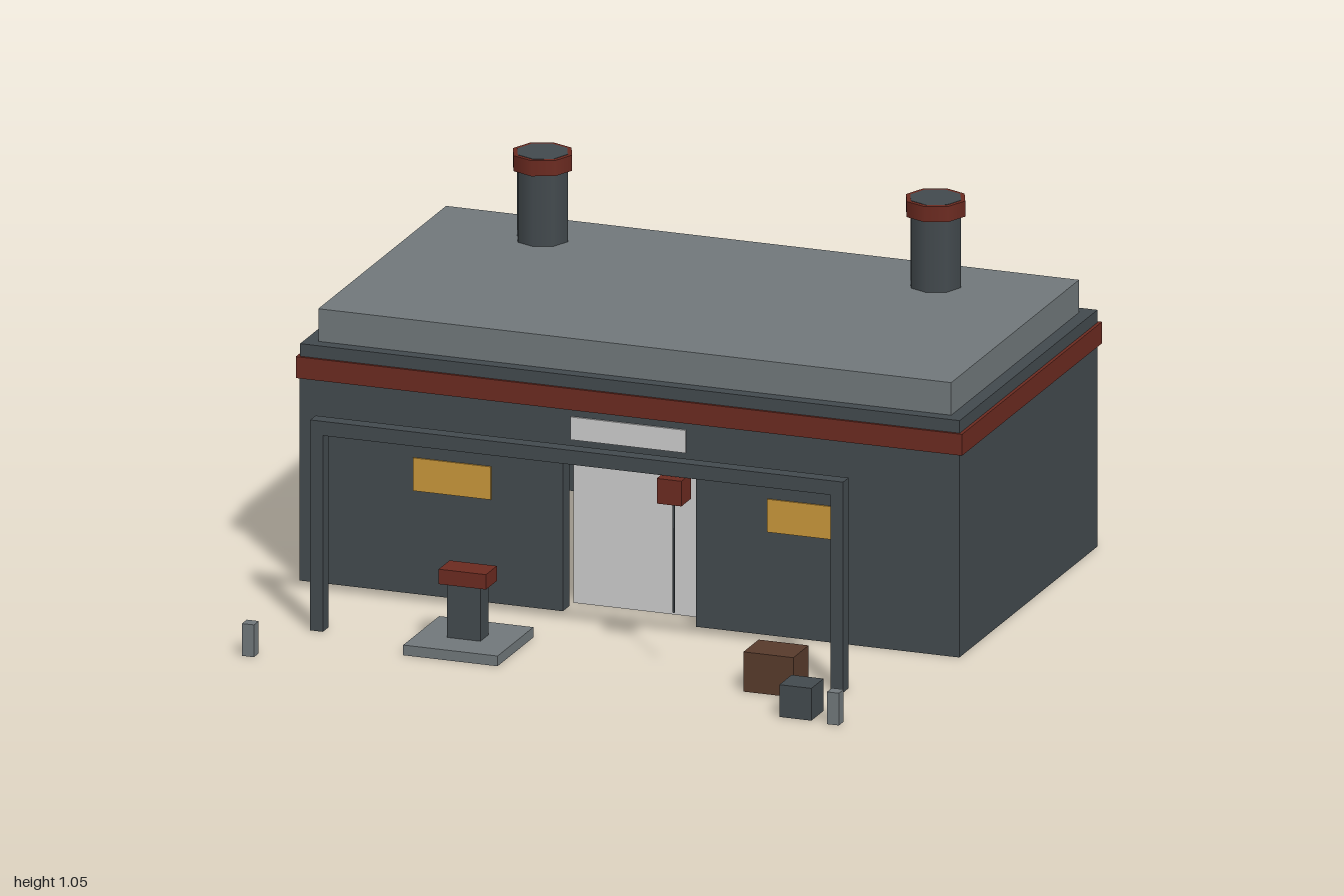
import * as THREE from 'three';

const mat = (name, color) => {
  const m = new THREE.MeshStandardMaterial({ color });
  m.name = name;
  return m;
};

export function createModel() {
  const slate = mat('dark slate', 0x42494d);
  const stone = mat('grey stone', 0x70777a);
  const red = mat('brick red', 0x6b2a20);
  const amber = mat('amber glass', 0xc8963a);
  const pale = mat('pale grey', 0xcbcbcb);
  const wood = mat('brown wood', 0x573a2b);
  const model = new THREE.Group();

  const add = (parent, name, geometry, material) => {
    const mesh = new THREE.Mesh(geometry, material);
    mesh.name = name;
    parent.add(mesh);
    return mesh;
  };
  // box given by its limits on each axis
  const box = (parent, name, material, [x0, x1], [y0, y1], [z0, z1]) => {
    const mesh = add(parent, name, new THREE.BoxGeometry(x1 - x0, y1 - y0, z1 - z0), material);
    mesh.position.set((x0 + x1) / 2, (y0 + y1) / 2, (z0 + z1) / 2);
    return mesh;
  };
  const group = (name) => {
    const g = new THREE.Group();
    g.name = name;
    model.add(g);
    return g;
  };

  // hollow walls, open underneath
  const walls = group('walls');
  box(walls, 'backWall', slate, [-0.99, 0.99], [0, 0.6], [-0.89, -0.84]);
  box(walls, 'lintel', slate, [-0.2, 0.2], [0.48, 0.6], [0.148, 0.198]);
  for (const s of [-1, 1]) {
    const span = (a, b) => (s > 0 ? [a, b] : [-b, -a]);
    box(walls, 'sideWall', slate, span(0.94, 0.99), [0, 0.6], [-0.84, 0.148]);
    box(walls, 'frontWall', slate, span(0.2, 0.99), [0, 0.6], [0.148, 0.198]);
    box(walls, 'window', amber, span(0.415, 0.648), [0.305, 0.402], [0.196, 0.203]);
  }
  box(model, 'door', pale, [-0.2, 0.2], [0, 0.48], [0.085, 0.115]);
  box(model, 'doorPlate', pale, [-0.175, 0.17], [0.51, 0.577], [0.196, 0.204]);

  // stepped roof
  const roof = group('roof');
  box(roof, 'redBand', red, [-1, 1], [0.597, 0.66], [-0.9, 0.203]);
  box(roof, 'roofSlab', slate, [-0.99, 0.99], [0.66, 0.697], [-0.89, 0.195]);
  box(roof, 'upperRoof', stone, [-0.95, 0.95], [0.697, 0.793], [-0.85, 0.157]);

  // octagonal chimneys, running down into the hollow building
  for (const x of [-0.59, 0.59]) {
    const chimney = group('chimney');
    chimney.position.set(x, 0, -0.665);
    add(chimney, 'chimneyShaft', new THREE.CylinderGeometry(0.076, 0.076, 1.001, 8), slate).position.y = 0.5505;
    add(chimney, 'chimneyCap', new THREE.CylinderGeometry(0.089, 0.089, 0.046, 8), red).position.y = 1.027;
  }

  // free-standing gateway
  const gate = group('gateway');
  const gateZ = [0.571, 0.614];
  box(gate, 'gateBeam', slate, [-0.8, 0.8], [0.578, 0.62], gateZ);
  box(gate, 'gatePost', slate, [-0.8, -0.762], [0, 0.578], gateZ);
  box(gate, 'gatePost', slate, [0.762, 0.8], [0, 0.578], gateZ);

  // box hanging from the gateway with a thin cord
  const lantern = group('hangingLantern');
  box(lantern, 'lanternBox', red, [0.246, 0.32], [0.498, 0.572], [0.555, 0.629]);
  add(lantern, 'lanternCord', new THREE.CylinderGeometry(0.003, 0.003, 0.33, 6), slate).position.set(0.283, 0.335, 0.592);

  // pedestal on a square base
  const pedestal = group('pedestal');
  box(pedestal, 'pedestalBase', stone, [-0.475, -0.192], [0, 0.03], [0.451, 0.734]);
  box(pedestal, 'pedestalColumn', slate, [-0.385, -0.285], [0.03, 0.188], [0.56, 0.625]);
  box(pedestal, 'pedestalCap', red, [-0.406, -0.264], [0.188, 0.232], [0.55, 0.636]);

  // loose crates and short marker posts
  box(model, 'woodenCrate', wood, [0.535, 0.685], [0, 0.117], [0.585, 0.705]);
  box(model, 'darkCrate', slate, [0.712, 0.808], [0, 0.095], [0.79, 0.886]);
  for (const x of [-0.878, 0.878]) {
    box(model, 'markerPost', stone, [x - 0.018, x + 0.018], [0, 0.095], [0.862, 0.9]);
  }
  return model;
}
